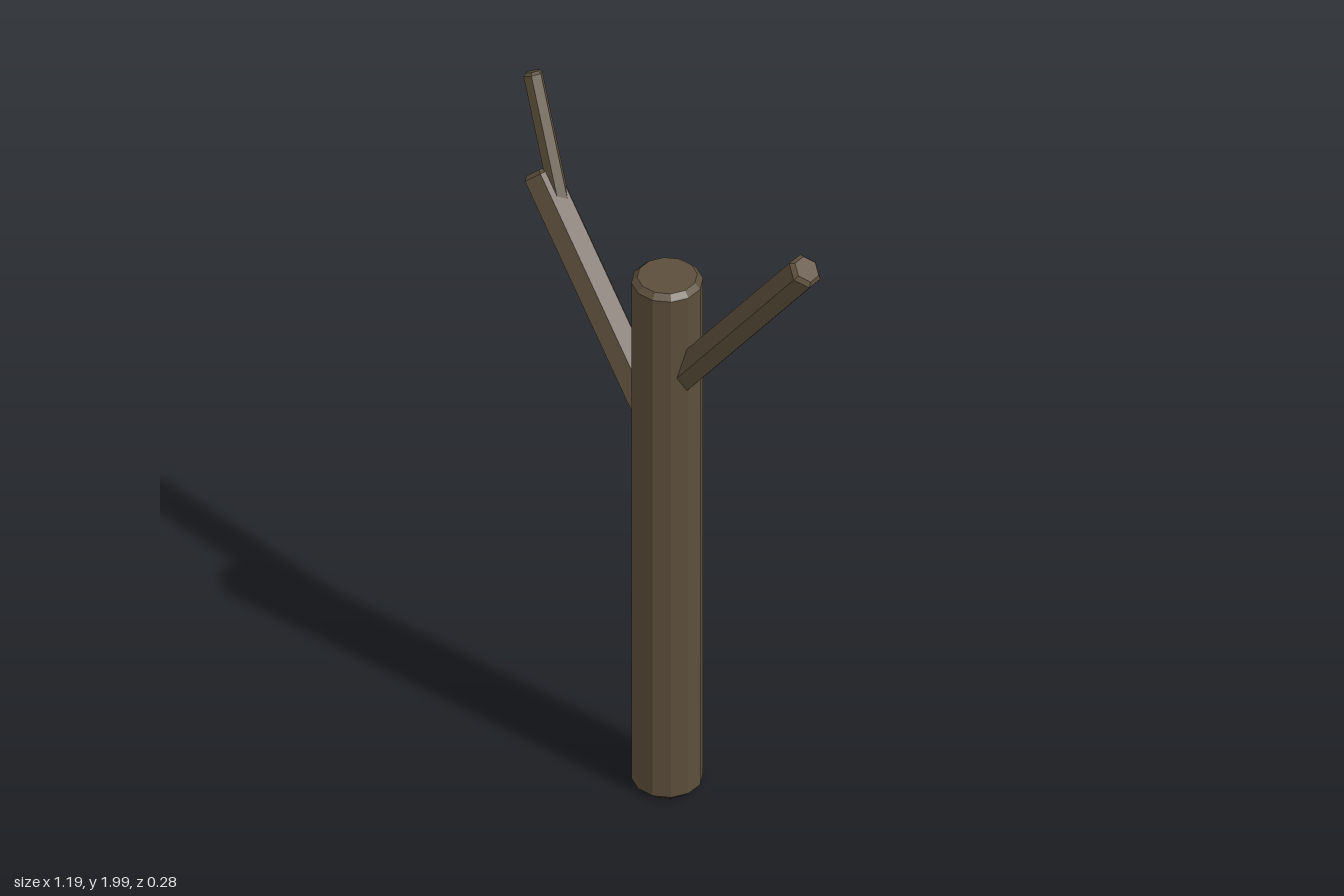
import * as THREE from 'three';

const bark = new THREE.MeshStandardMaterial({ color: 0x5c4e3b, flatShading: true });
bark.name = 'bark brown';

// Faceted log with chamfered ends, running from one point to another
function log(name, from, to, radius, sides, bevel) {
  const start = new THREE.Vector3(...from);
  const dir = new THREE.Vector3(...to).sub(start);
  const length = dir.length();
  dir.normalize();
  const profile = [
    [0, 0], [radius - bevel, 0], [radius, bevel],
    [radius, length - bevel], [radius - bevel, length], [0, length],
  ].map(([r, y]) => new THREE.Vector2(r, y));
  const mesh = new THREE.Mesh(new THREE.LatheGeometry(profile, sides), bark);
  mesh.name = name;

  // Keep one pair of corners level so the facets sit square to the lean
  const side = new THREE.Vector3(0, 1, 0).cross(dir);
  if (side.lengthSq() < 1e-6) side.set(0, 0, 1);
  side.normalize();
  const across = new THREE.Vector3().crossVectors(dir, side);
  mesh.quaternion.setFromRotationMatrix(new THREE.Matrix4().makeBasis(across, dir, side));
  mesh.position.copy(start);
  return mesh;
}

export function createModel() {
  const tree = new THREE.Group();
  tree.name = 'bareTree';
  tree.add(
    log('trunk', [0.098, 0, 0.038], [0.098, 1.725, 0.038], 0.098, 12, 0.016),
    log('rightBranch', [0.06, 1.179, 0.037], [-0.49, 1.722, 0.037], 0.055, 6, 0.012),
    log('leftBranch', [0.14, 1.4, 0.033], [0.559, 1.972, -0.094], 0.05, 6, 0.012),
    log('twig', [-0.4, 1.66, 0.032], [-0.581, 1.984, -0.006], 0.028, 6, 0.008),
  );
  return tree;
}
